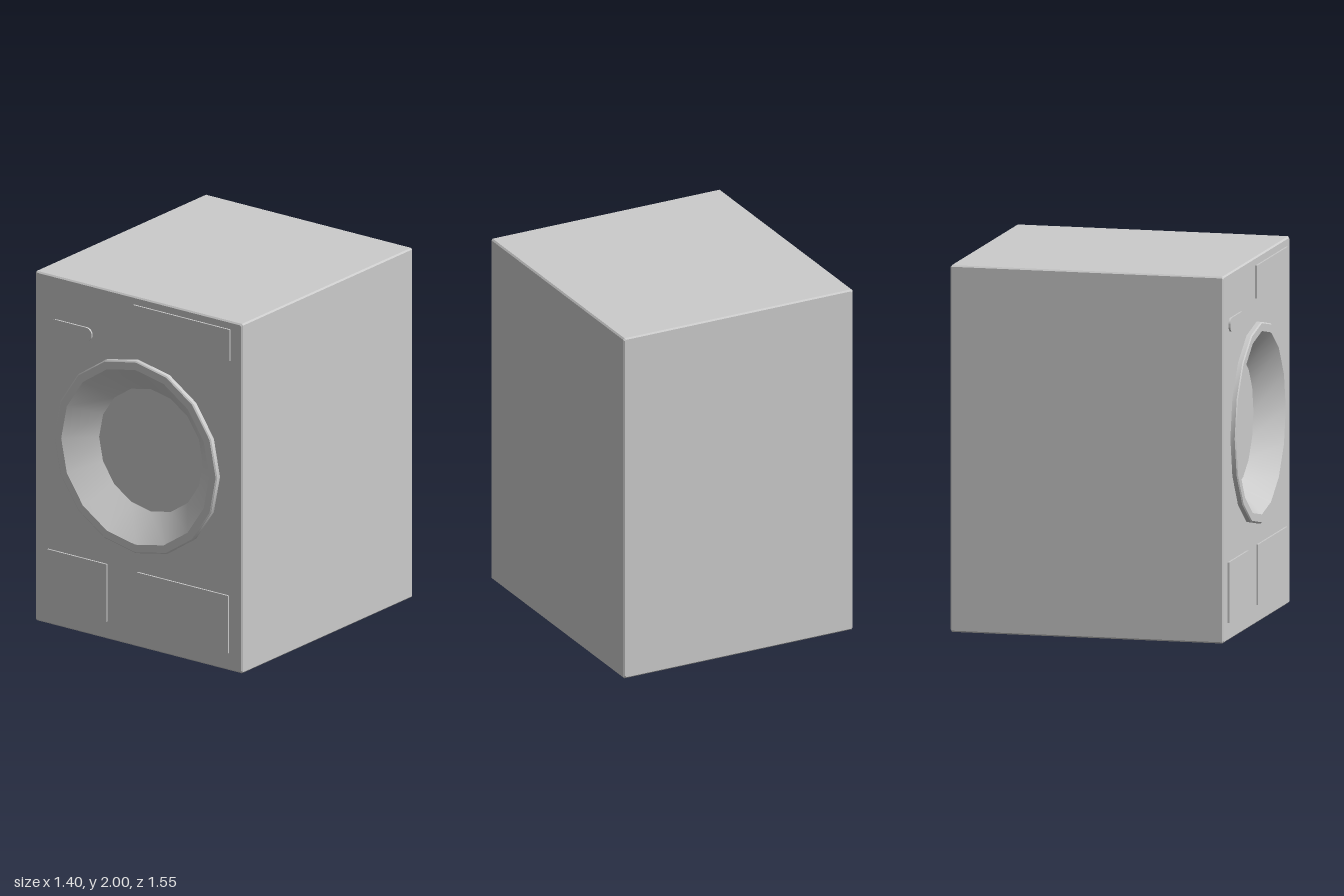
import * as THREE from 'three';
import { toCreasedNormals } from 'three/addons/utils/BufferGeometryUtils.js';

const W = 0.7, H = 2, BACK = -0.775, FRONT = 0.745, BEVEL = 0.008;
const DOOR_Y = 1.095, SIDES = 16;

export function createModel() {
  const group = new THREE.Group();
  const material = new THREE.MeshStandardMaterial({ color: 0xcccccc });
  const add = (name, geometry, x = 0, y = 0, z = 0, parent = group) => {
    const mesh = new THREE.Mesh(geometry, material);
    mesh.name = name;
    mesh.position.set(x, y, z);
    parent.add(mesh);
    return mesh;
  };

  // Rectangle with cut corners, counter-clockwise, inset from the cabinet outline
  const outline = (inset) => {
    const x = W - inset, y0 = inset, y1 = H - inset, b = BEVEL;
    return [
      [x - b, y0], [x, y0 + b], [x, y1 - b], [x - b, y1],
      [-x + b, y1], [-x, y1 - b], [-x, y0 + b], [-x + b, y0],
    ].map(([px, py]) => new THREE.Vector2(px, py));
  };

  // Cabinet walls: outlines lofted from back to front with a fine bevelled edge
  const cabinet = new THREE.Group();
  cabinet.name = 'cabinet';
  group.add(cabinet);
  const rings = [[BEVEL, BACK], [0, BACK + BEVEL], [0, FRONT - BEVEL], [BEVEL, FRONT]];
  const positions = [], indices = [];
  rings.forEach(([inset, z]) => outline(inset).forEach((p) => positions.push(p.x, p.y, z)));
  for (let r = 0; r < rings.length - 1; r++) {
    for (let i = 0; i < 8; i++) {
      const j = (i + 1) % 8;
      const a = r * 8 + i, b = r * 8 + j, c = b + 8, d = a + 8;
      indices.push(a, b, c, a, c, d);
    }
  }
  const walls = new THREE.BufferGeometry();
  walls.setAttribute('position', new THREE.Float32BufferAttribute(positions, 3));
  walls.setIndex(indices);
  add('cabinetWalls', toCreasedNormals(walls, 0.3), 0, 0, 0, cabinet);

  // Back panel, and front panel with the door opening
  const backPanel = add('backPanel', new THREE.ShapeGeometry(new THREE.Shape(outline(BEVEL))), 0, 0, BACK, cabinet);
  backPanel.rotation.y = Math.PI;
  const frontShape = new THREE.Shape(outline(BEVEL));
  const opening = [];
  for (let i = 0; i < SIDES; i++) {
    const t = (-i / SIDES) * Math.PI * 2;
    opening.push(new THREE.Vector2(0.52 * Math.cos(t), DOOR_Y + 0.52 * Math.sin(t)));
  }
  frontShape.holes.push(new THREE.Path(opening));
  add('frontPanel', new THREE.ShapeGeometry(frontShape), 0, 0, FRONT, cabinet);

  // Door: raised rim with a bevelled edge, sloping bowl and flat window
  const profile = [[0.55, FRONT], [0.55, 0.769], [0.543, 0.775], [0.5, 0.775], [0.35, 0.635], [0, 0.635]];
  const door = new THREE.LatheGeometry(profile.map(([r, z]) => new THREE.Vector2(r, z)), SIDES);
  door.rotateX(Math.PI / 2);
  add('door', toCreasedNormals(door, 0.5), 0, DOOR_Y, 0);

  // Raised rectangular panels: x range, y range
  const panels = [
    ['controlPanel', -0.03, 0.62, 1.775, 1.955],
    ['filterCover', -0.61, -0.21, 0.1, 0.43],
    ['lowerCover', -0.005, 0.61, 0.1, 0.43],
  ];
  for (const [name, x0, x1, y0, y1] of panels) {
    add(name, new THREE.BoxGeometry(x1 - x0, y1 - y0, 0.02), (x0 + x1) / 2, (y0 + y1) / 2, FRONT);
  }

  // Small rounded badge plate at upper left of the front
  const hw = 0.14, r = 0.037;
  const pill = new THREE.Shape();
  pill.absarc(hw - r, 0, r, -Math.PI / 2, Math.PI / 2);
  pill.absarc(-hw + r, 0, r, Math.PI / 2, Math.PI * 1.5);
  const plate = new THREE.ExtrudeGeometry(pill, { depth: 0.015, bevelEnabled: false, curveSegments: 6 });
  add('roundedPlate', toCreasedNormals(plate, 0.7), -0.45, 1.718, FRONT - 0.005);

  return group;
}
